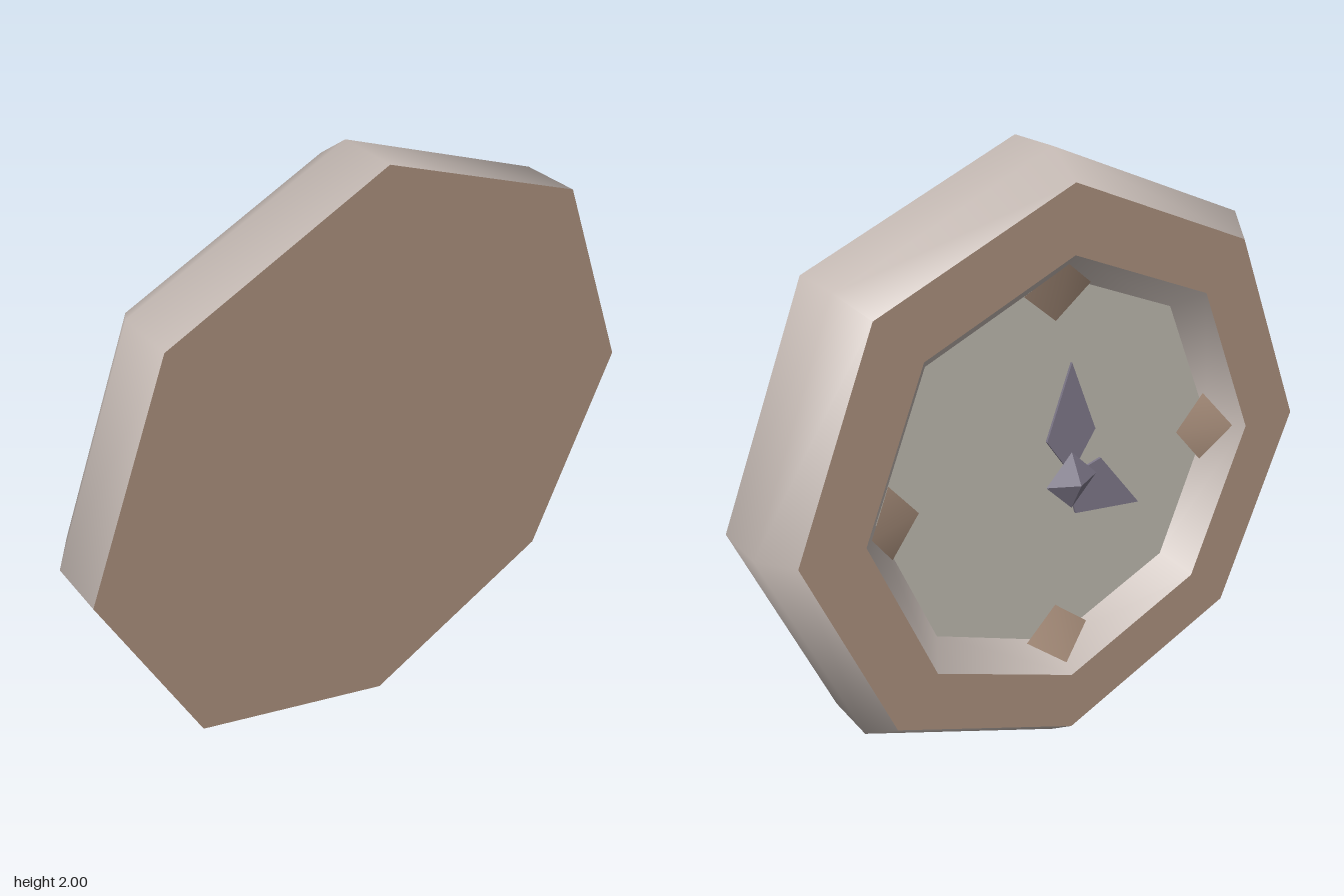
import * as THREE from 'three';

const mat = (name, color, extra = {}) => {
  const m = new THREE.MeshStandardMaterial({ color, ...extra });
  m.name = name;
  return m;
};

export function createModel() {
  const rimGrey = mat('rimGrey', 0xc6bbb5);
  const wood = mat('wood', 0xa88e7b, { side: THREE.DoubleSide });
  const dialGrey = mat('dialGrey', 0xbab6ac);
  const handDark = mat('handDark', 0x7d7788, { flatShading: true });

  // Built facing +z, then turned so the dial faces -x
  const clock = new THREE.Group();
  clock.name = 'wallClock';
  const add = (name, geometry, material, z = 0) => {
    const mesh = new THREE.Mesh(geometry, material);
    mesh.name = name;
    mesh.position.z = z;
    clock.add(mesh);
    return mesh;
  };

  // Eight-sided shells, profile given as [radius, depth]
  const shell = (profile) =>
    new THREE.LatheGeometry(profile.map(([r, h]) => new THREE.Vector2(r, h)), 8).rotateX(Math.PI / 2);
  add('outerRim', shell([[1, -0.17], [1, 0.02], [0.92, 0.13]]), rimGrey);
  add('innerWall', shell([[0.713, 0.13], [0.63, 0.03]]), rimGrey);

  // Flat faces
  add('frontRing', new THREE.RingGeometry(0.713, 0.92, 8), wood, 0.13);
  add('backPanel', new THREE.CircleGeometry(1, 8).rotateY(Math.PI), wood, -0.17);
  add('dial', new THREE.CircleGeometry(0.63, 8), dialGrey, 0.03);

  // Four diamond hour markers leaning from the dial to the wall
  const marker = new THREE.BufferGeometry();
  marker.setAttribute('position', new THREE.Float32BufferAttribute([
    0.49, 0, 0.035, 0.59, -0.12, 0.045, 0.68, 0, 0.1, 0.59, 0.12, 0.045,
  ], 3));
  marker.setIndex([0, 1, 2, 0, 2, 3]);
  marker.computeVertexNormals();
  for (let i = 0; i < 4; i++) {
    add('hourMarker', marker, wood).rotation.z = (i * Math.PI) / 2;
  }

  // Kite-shaped hands: tail, widest point and tip along the hand
  const hand = (name, tail, wide, tip, halfWidth, angle) => {
    const shape = new THREE.Shape([
      new THREE.Vector2(tail, 0), new THREE.Vector2(wide, -halfWidth),
      new THREE.Vector2(tip, 0), new THREE.Vector2(wide, halfWidth),
    ]);
    const geometry = new THREE.ExtrudeGeometry(shape, { depth: 0.008, bevelEnabled: false });
    add(name, geometry, handDark, 0.11).rotation.z = angle;
  };
  hand('minuteHand', 0.02, 0.15, 0.385, 0.09, Math.PI / 2);
  hand('hourHand', -0.02, 0.076, 0.31, 0.095, -Math.PI / 6);

  // Pointed hub
  add('hub', new THREE.ConeGeometry(0.095, 0.05, 4).rotateX(Math.PI / 2), handDark, 0.145);

  clock.rotation.y = -Math.PI / 2;
  clock.position.y = 1;
  const model = new THREE.Group();
  model.add(clock);
  return model;
}
